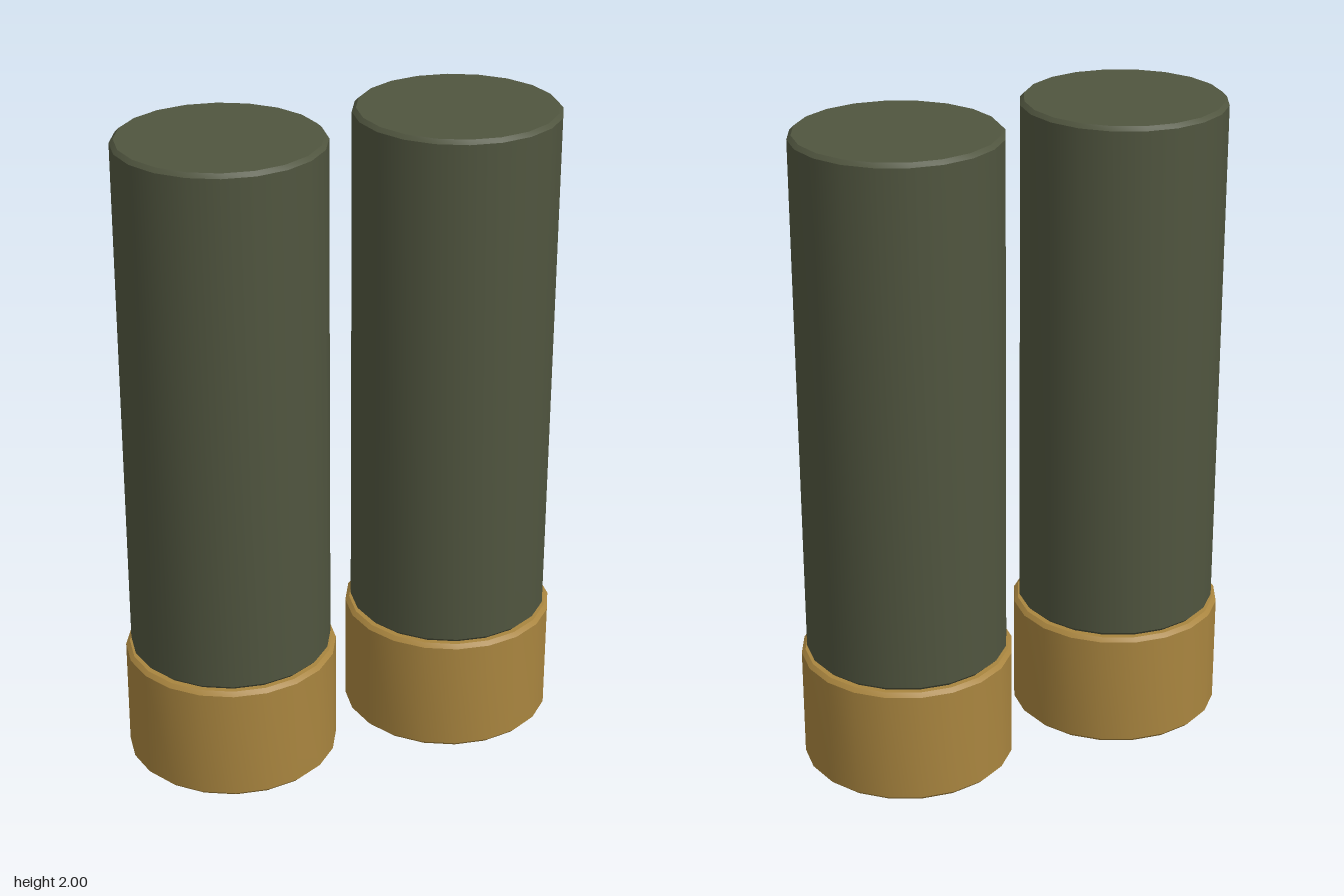
import * as THREE from 'three';
import { toCreasedNormals } from 'three/addons/utils/BufferGeometryUtils.js';

const SIDES = 20;

// Solid cylinder with a small chamfer on both rims
function chamferedCylinder(radius, bottom, top, chamfer) {
  const profile = [
    [0, bottom], [radius - chamfer, bottom], [radius, bottom + chamfer],
    [radius, top - chamfer], [radius - chamfer, top], [0, top],
  ].map(([r, y]) => new THREE.Vector2(r, y));
  return toCreasedNormals(new THREE.LatheGeometry(profile, SIDES), Math.PI / 6);
}

export function createModel() {
  const model = new THREE.Group();
  model.name = 'shellPair';

  const brass = new THREE.MeshStandardMaterial({ color: 0xa9853f });
  const hull = new THREE.MeshStandardMaterial({ color: 0x50553f });
  const baseGeometry = chamferedCylinder(0.325, 0, 0.37, 0.012);
  const bodyGeometry = chamferedCylinder(0.308, 0.37, 2, 0.012);

  // Two identical shells standing side by side
  for (const [side, x] of [['left', 0.365], ['right', -0.365]]) {
    const shell = new THREE.Group();
    shell.name = side + 'Shell';
    shell.position.x = x;

    const base = new THREE.Mesh(baseGeometry, brass);
    base.name = side + 'BrassBase';
    const body = new THREE.Mesh(bodyGeometry, hull);
    body.name = side + 'Body';

    shell.add(base, body);
    model.add(shell);
  }
  return model;
}
